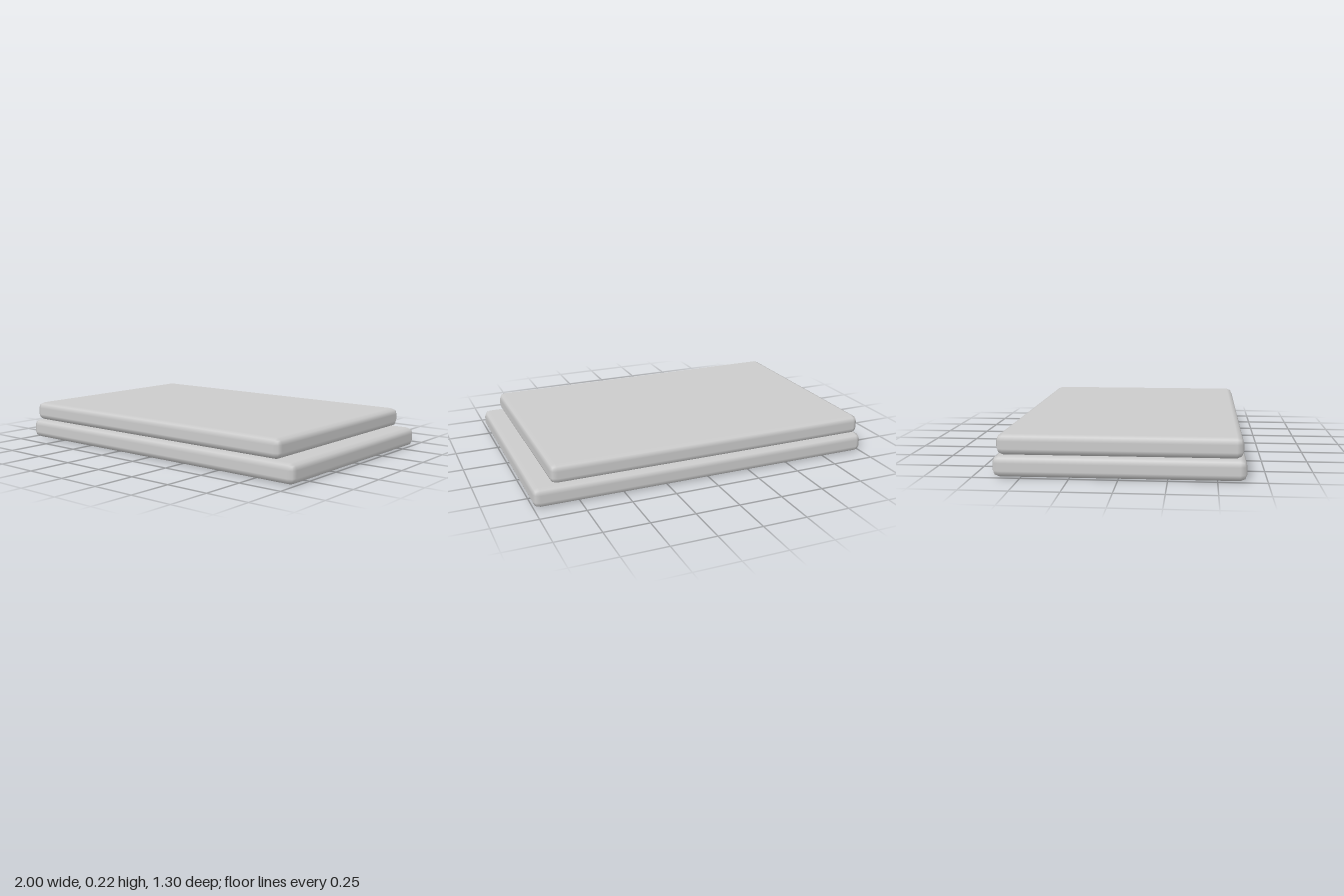
import * as THREE from 'three';
import { RoundedBoxGeometry } from 'three/addons/geometries/RoundedBoxGeometry.js';

const material = new THREE.MeshStandardMaterial({ color: 0xcccccc });

// Flat slab with softly rounded edges, given by its x range, base height and depth
function slab(name, x0, x1, y, height, depth) {
  const geometry = new RoundedBoxGeometry(x1 - x0, height, depth, 1, 0.035);
  const mesh = new THREE.Mesh(geometry, material);
  mesh.position.set((x0 + x1) / 2, y + height / 2, 0);
  mesh.name = name;
  return mesh;
}

export function createModel() {
  const group = new THREE.Group();
  group.name = 'stackedSlabs';
  // Wide lower slab, and a shorter upper one set toward the right
  group.add(slab('lowerSlab', -1, 1, 0, 0.11, 1.296));
  group.add(slab('upperSlab', -0.98, 0.9, 0.111, 0.109, 1.26));
  return group;
}
